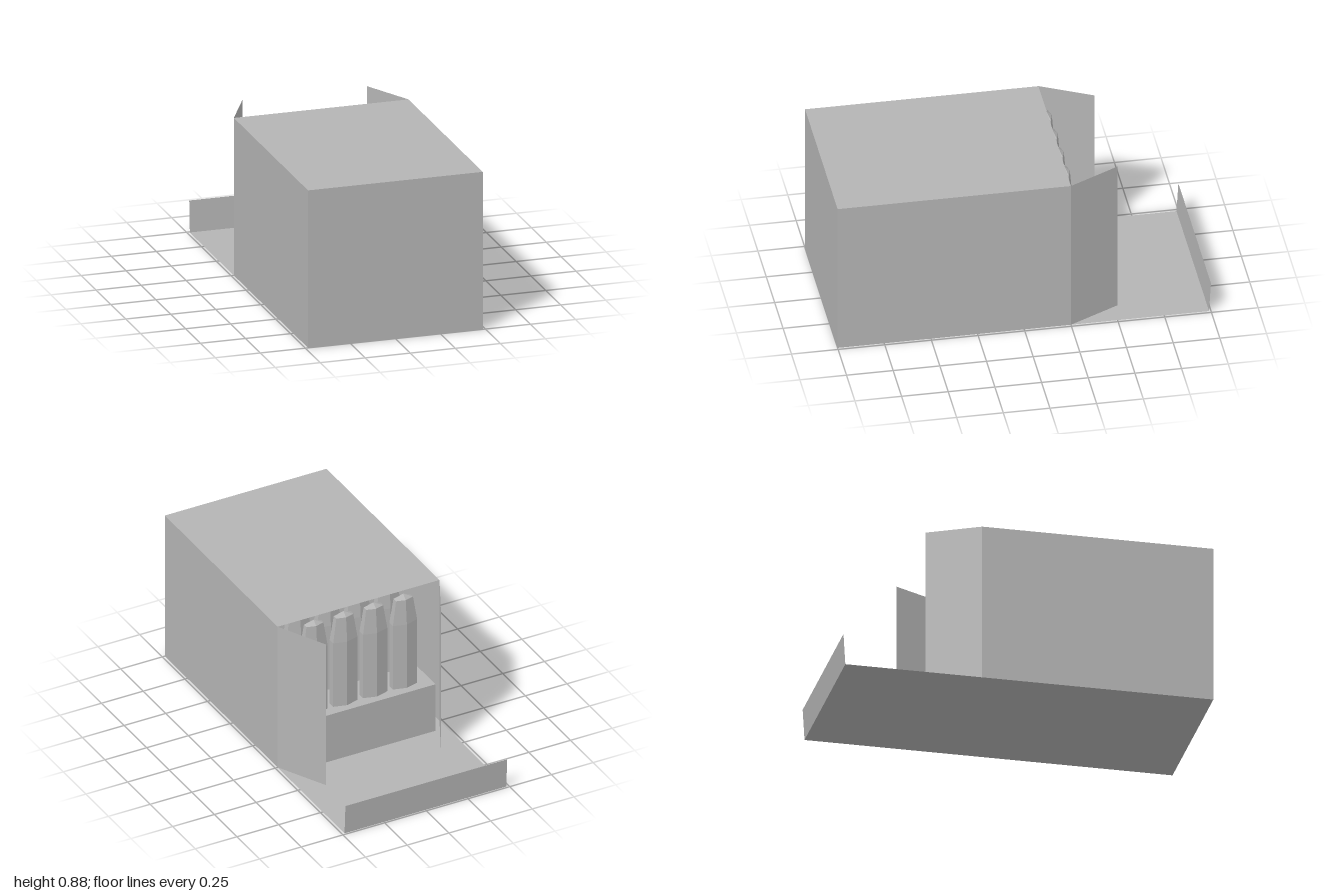
import * as THREE from 'three';

const W = 0.485, H = 0.877, BACK = -0.25, FRONT = 1;

// Flat quad from four corners
function sheet(name, corners, material) {
  const g = new THREE.BufferGeometry();
  g.setAttribute('position', new THREE.Float32BufferAttribute(corners.flat(), 3));
  g.setIndex([0, 1, 2, 0, 2, 3]);
  g.computeVertexNormals();
  const mesh = new THREE.Mesh(g, material);
  mesh.name = name;
  return mesh;
}

export function createModel() {
  const model = new THREE.Group();
  model.name = 'openCarton';
  const card = new THREE.MeshStandardMaterial({ color: 0xb4b4b4, side: THREE.DoubleSide, flatShading: true });
  card.name = 'grey card';

  // Carton walls, open at the back
  model.add(sheet('frontWall', [[-W, 0, FRONT], [W, 0, FRONT], [W, H, FRONT], [-W, H, FRONT]], card));
  model.add(sheet('topWall', [[-W, H, FRONT], [W, H, FRONT], [W, H, BACK], [-W, H, BACK]], card));

  // Floor continues backwards as the long closing flap
  model.add(sheet('floorAndLongFlap', [[-W, 0, -0.99], [W, 0, -0.99], [W, 0, FRONT], [-W, 0, FRONT]], card));
  model.add(sheet('tuckLip', [[W, 0, -0.99], [-W, 0, -0.99], [-W, 0.175, -1], [W, 0.175, -1]], card));

  // Side walls with small flaps bent slightly inwards
  for (const s of [1, -1]) {
    const side = s > 0 ? 'left' : 'right';
    const wall = (name, x0, z0, x1, z1) => {
      const c = [[s * x0, 0, z0], [s * x1, 0, z1], [s * x1, H, z1], [s * x0, H, z0]];
      model.add(sheet(name, s > 0 ? c : c.reverse(), card));
    };
    wall(side + 'Wall', W, FRONT, W, BACK);
    wall(side + 'Flap', W, BACK, 0.345, -0.525);
  }

  // Tray that holds the sticks
  const trayBack = -0.335, trayFront = 0.92, trayTop = 0.295;
  const tray = new THREE.Mesh(new THREE.BoxGeometry(0.83, trayTop - 0.005, trayFront - trayBack), card);
  tray.name = 'tray';
  tray.position.set(0, (trayTop + 0.005) / 2, (trayBack + trayFront) / 2);
  model.add(tray);

  // Flattened six-sided sticks with tapered ends, in rows of four
  const r = 0.084;
  const profile = [[r, trayTop - 0.02], [r, 0.69], [r * 0.7, 0.835], [0, 0.86]].map(p => new THREE.Vector2(...p));
  const stickGeometry = new THREE.LatheGeometry(profile, 6).scale(1, 1, 0.48);
  const sticks = new THREE.Group();
  sticks.name = 'sticks';
  for (let row = 0; row < 7; row++) {
    for (let col = 0; col < 4; col++) {
      const stick = new THREE.Mesh(stickGeometry, card);
      stick.name = 'stick';
      stick.position.set(0.003 + (col - 1.5) * 0.179, 0, -0.254 + row * 0.18);
      sticks.add(stick);
    }
  }
  model.add(sticks);
  return model;
}
